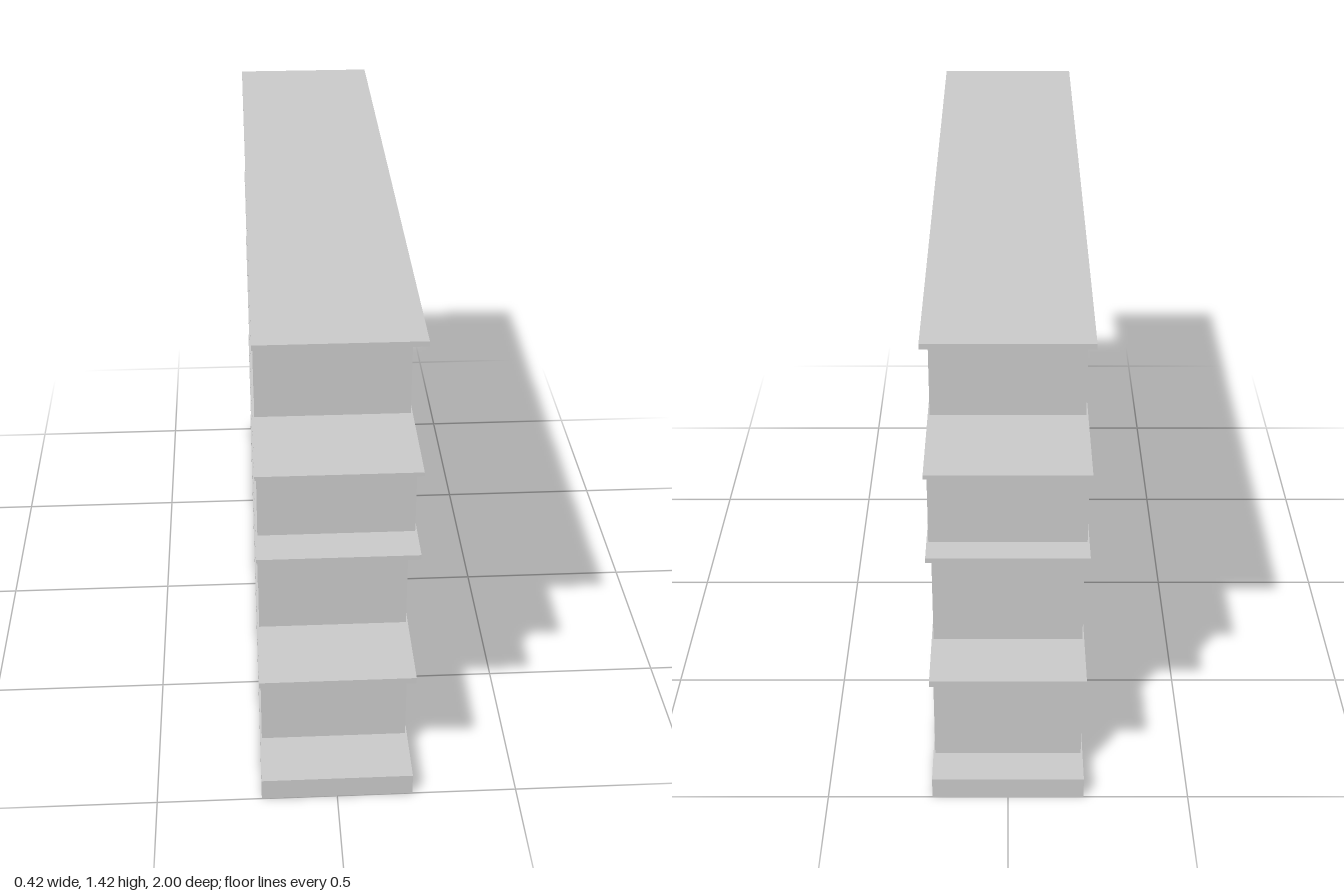
import * as THREE from 'three';

const DEPTH = 0.42;
const LENGTH = 2;

// Boards from the ground up: [bottom, top]
const boards = [[0, 0.064], [0.393, 0.411], [0.797, 0.811], [1.049, 1.06], [1.411, 1.425]];

// Uprights standing on each board: [centre z, thickness]
const uprights = [
  [[0.815, 0.021], [0.485, 0.019], [0.208, 0.019], [0.1, 0.019], [-0.213, 0.015], [-0.623, 0.015], [-0.887, 0.014]],
  [[0.752, 0.013], [0.56, 0.017], [0.159, 0.012], [-0.294, 0.013], [-0.545, 0.014], [-0.812, 0.014]],
  [[0.885, 0.013], [0.485, 0.013], [0.24, 0.013], [0.061, 0.012], [-0.08, 0.012], [-0.492, 0.013], [-0.602, 0.013], [-0.921, 0.012]],
  [[0.704, 0.012], [0.54, 0.009], [0.177, 0.012], [-0.18, 0.009], [-0.296, 0.012], [-0.545, 0.012], [-0.702, 0.01]],
];

export function createModel() {
  const group = new THREE.Group();
  group.name = 'openBookcase';
  const material = new THREE.MeshStandardMaterial({ color: 0xcccccc });

  const addBox = (name, width, bottom, top, length, z) => {
    const mesh = new THREE.Mesh(new THREE.BoxGeometry(width, top - bottom, length), material);
    mesh.position.set(0, (bottom + top) / 2, z);
    mesh.name = name;
    group.add(mesh);
  };

  // Plinth, shelves and top board
  boards.forEach(([bottom, top], i) => {
    const name = i === 0 ? 'plinth' : i === boards.length - 1 ? 'topBoard' : `shelf${i}`;
    addBox(name, DEPTH, bottom, top, LENGTH, 0);
  });

  // Uprights, set back slightly from the board edges
  uprights.forEach((row, i) => {
    row.forEach(([z, thickness], j) => {
      addBox(`upright${i + 1}_${j + 1}`, DEPTH - 0.01, boards[i][1], boards[i + 1][0], thickness, z);
    });
  });

  return group;
}
